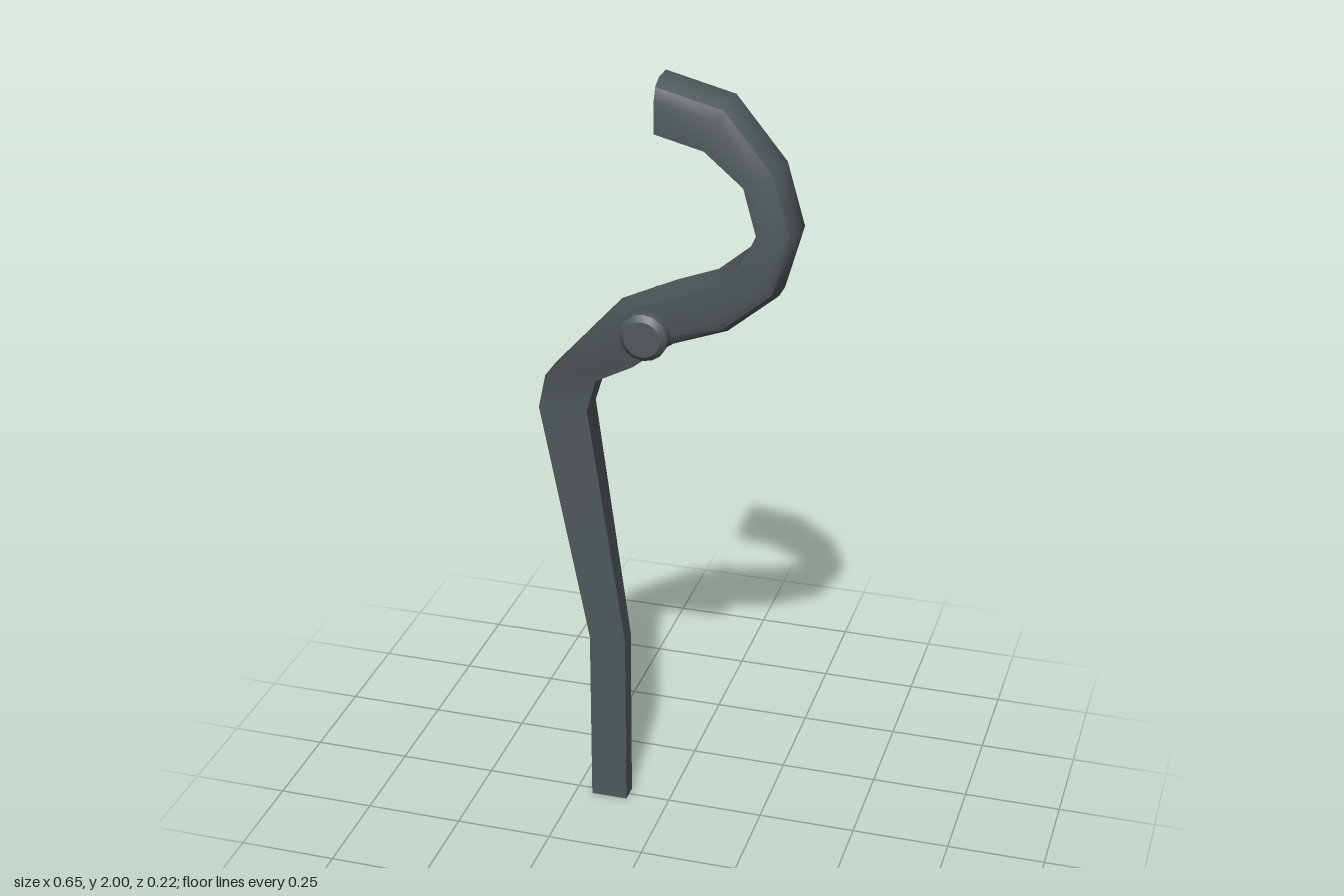
import * as THREE from 'three';
import { toCreasedNormals } from 'three/addons/utils/BufferGeometryUtils.js';

// Stations up the bar: outer x, y, inner x, y, half depth, rounding of the outer edge
const stations = [
  [-0.11, 0, -0.205, 0, 0.025, 0],
  [-0.11, 0.48, -0.205, 0.48, 0.025, 0],
  [-0.20, 1.13, -0.325, 1.125, 0.036, 0],
  [-0.175, 1.215, -0.305, 1.215, 0.04, 0],
  [-0.07, 1.28, -0.14, 1.395, 0.072, 0],
  [0.02, 1.335, 0.0, 1.46, 0.072, 0.8],
  [0.155, 1.385, 0.105, 1.5, 0.072, 1],
  [0.28, 1.49, 0.2, 1.58, 0.072, 1],
  [0.325, 1.65, 0.232, 1.65, 0.072, 1],
  [0.28, 1.805, 0.2, 1.765, 0.072, 1],
  [0.155, 1.957, 0.105, 1.845, 0.072, 1],
  [-0.015, 2.0, -0.015, 1.875, 0.072, 1],
];

// Cross-section: [depth as a share of half depth, inset from the outer edge]
const half = [[1, 0.045], [0.83, 0.015], [0.39, 0]];
const outerEdge = [...half, ...half.map(([z, s]) => [-z, s]).reverse()];

function barGeometry() {
  const pos = [], index = [];
  for (const [ax, ay, bx, by, d, round] of stations) {
    const width = Math.hypot(bx - ax, by - ay);
    for (const [z, inset] of outerEdge) {
      const t = inset * round / width;
      pos.push(ax + (bx - ax) * t, ay + (by - ay) * t, z * d);
    }
    pos.push(bx, by, -d, bx, by, d);
  }
  const n = outerEdge.length + 2;
  const last = (stations.length - 1) * n;
  for (let i = 0; i < last; i += n) {
    for (let j = 0; j < n; j++) {
      const a = i + j, b = i + (j + 1) % n;
      index.push(a, b, b + n, a, b + n, a + n);
    }
  }
  // End caps, fanned from an inner corner
  for (let j = 0; j < n - 2; j++) {
    index.push(n - 1, j + 1, j);
    index.push(last + n - 1, last + j, last + j + 1);
  }
  const g = new THREE.BufferGeometry();
  g.setAttribute('position', new THREE.Float32BufferAttribute(pos, 3));
  g.setIndex(index);
  return toCreasedNormals(g, 0.72);
}

export function createModel() {
  const group = new THREE.Group();
  const material = new THREE.MeshStandardMaterial({ color: 0x50585c });

  // Tapered handle running into the curved hook
  const bar = new THREE.Mesh(barGeometry(), material);
  bar.name = 'handleAndHook';
  group.add(bar);

  // Pivot pin with chamfered ends, through the joint
  const profile = [[0, -0.112], [0.046, -0.112], [0.06, -0.098], [0.06, 0.098], [0.046, 0.112], [0, 0.112]]
    .map(([r, y]) => new THREE.Vector2(r, y));
  const pin = new THREE.Mesh(toCreasedNormals(new THREE.LatheGeometry(profile, 16), 0.6), material);
  pin.name = 'pivotPin';
  pin.rotation.x = Math.PI / 2;
  pin.position.set(-0.035, 1.372, 0);
  group.add(pin);

  return group;
}
